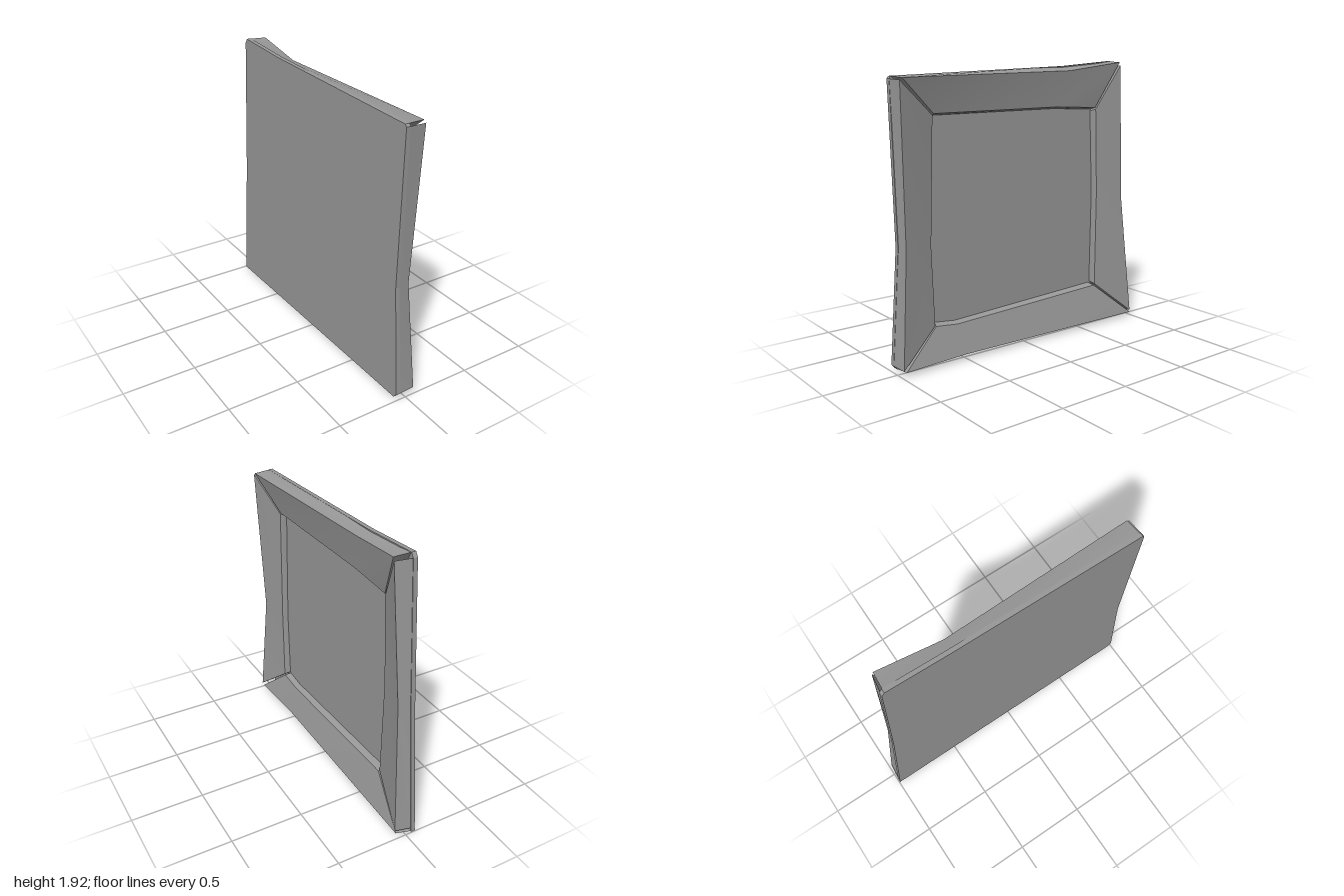
import * as THREE from 'three';
import { toCreasedNormals } from 'three/addons/utils/BufferGeometryUtils.js';

const BACK = -0.075;  // rear plane of the whole frame
const PANEL = -0.045; // face of the recessed panel
const SEAT = BACK + 0.002; // bars stand just inside the rear plane

// Each bar runs counter-clockwise round the frame. A station lists [z, y] of the
// outer rear edge, outer front edge and inner edge, then front x of outer and inner edge.
const BARS = {
  bottomBar: [
    [[0.975, 0.018], [0.97, 0.03], [0.708, 0.256], 0.067, -0.003],
    [[0.52, 0.015], [0.52, 0.04], [0.54, 0.238], 0.053, -0.003],
    [[-0.995, 0.0], [-0.982, 0.03], [-0.66, 0.285], 0.067, 0.003],
  ],
  rightBar: [
    [[-0.992, 0.025], [-0.977, 0.047], [-0.67, 0.295], 0.07, 0],
    [[-0.91, 0.95], [-0.89, 0.95], [-0.68, 0.98], 0.035, -0.005],
    [[-0.848, 1.89], [-0.828, 1.892], [-0.655, 1.585], 0.067, 0],
  ],
  topBar: [
    [[-0.828, 1.92], [-0.818, 1.913], [-0.65, 1.597], 0.067, 0],
    [[-0.4, 1.89], [-0.38, 1.86], [-0.3, 1.616], 0.03, -0.003],
    [[0.96, 1.848], [0.948, 1.842], [0.695, 1.617], 0.067, -0.003],
  ],
  leftBar: [
    [[0.972, 1.833], [0.965, 1.829], [0.704, 1.608], 0.067, -0.003],
    [[0.945, 0.8], [0.932, 0.8], [0.73, 0.78], 0.032, -0.008],
    [[1.0, 0.045], [0.99, 0.042], [0.715, 0.262], 0.07, -0.003],
  ],
};

// Cross-section of a bar: raised outer rim sloping down to a small step at the panel
function section([back, rim, inner, xRim, xInner]) {
  const toward = (p, c) => p + Math.sign(c - p) * 0.014;
  const foot = [toward(inner[0], 0), toward(inner[1], 0.95)];
  // at mid-bar the step leans inwards only across the bar, never along it
  const along = Math.abs(inner[0]) < 0.6 ? [inner[0], foot[1]]
    : Math.abs(inner[1] - 0.95) < 0.5 ? [foot[0], inner[1]] : foot;
  return [
    [SEAT, back], [xRim, rim], [xInner, inner], [PANEL, along], [SEAT, along],
  ].map(([x, [z, y]]) => new THREE.Vector3(x, y, z));
}

// Solid joining the sections, closed at both mitred ends, smooth along its length
function loft(sections) {
  const pts = [];
  const tri = (a, b, c) => pts.push(a, b, c);
  const n = sections[0].length;
  for (let i = 0; i < sections.length - 1; i++) {
    const s = sections[i], t = sections[i + 1];
    for (let j = 0; j < n; j++) {
      const k = (j + 1) % n;
      tri(s[j], t[j], t[k]);
      tri(s[j], t[k], s[k]);
    }
  }
  const first = sections[0], last = sections[sections.length - 1];
  for (let j = 1; j < n - 1; j++) {
    tri(first[0], first[j], first[j + 1]);
    tri(last[0], last[j + 1], last[j]);
  }
  return toCreasedNormals(new THREE.BufferGeometry().setFromPoints(pts), 0.5);
}

export function createModel() {
  const group = new THREE.Group();
  group.name = 'squareFrame';
  const material = new THREE.MeshStandardMaterial({ color: 0x999999 });

  // Four separate mitred bars
  for (const [name, stations] of Object.entries(BARS)) {
    const bar = new THREE.Mesh(loft(stations.map(section)), material);
    bar.name = name;
    group.add(bar);
  }

  // Plate that fills the opening and forms the flat rear
  const outline = Object.values(BARS).flat().map(([[z, y]]) => new THREE.Vector2(-z, y));
  const plate = new THREE.ExtrudeGeometry(new THREE.Shape(outline), {
    depth: PANEL - BACK, bevelEnabled: false,
  });
  plate.rotateY(Math.PI / 2);
  plate.translate(BACK, 0, 0);
  const panel = new THREE.Mesh(plate, material);
  panel.name = 'panel';
  group.add(panel);
  return group;
}
